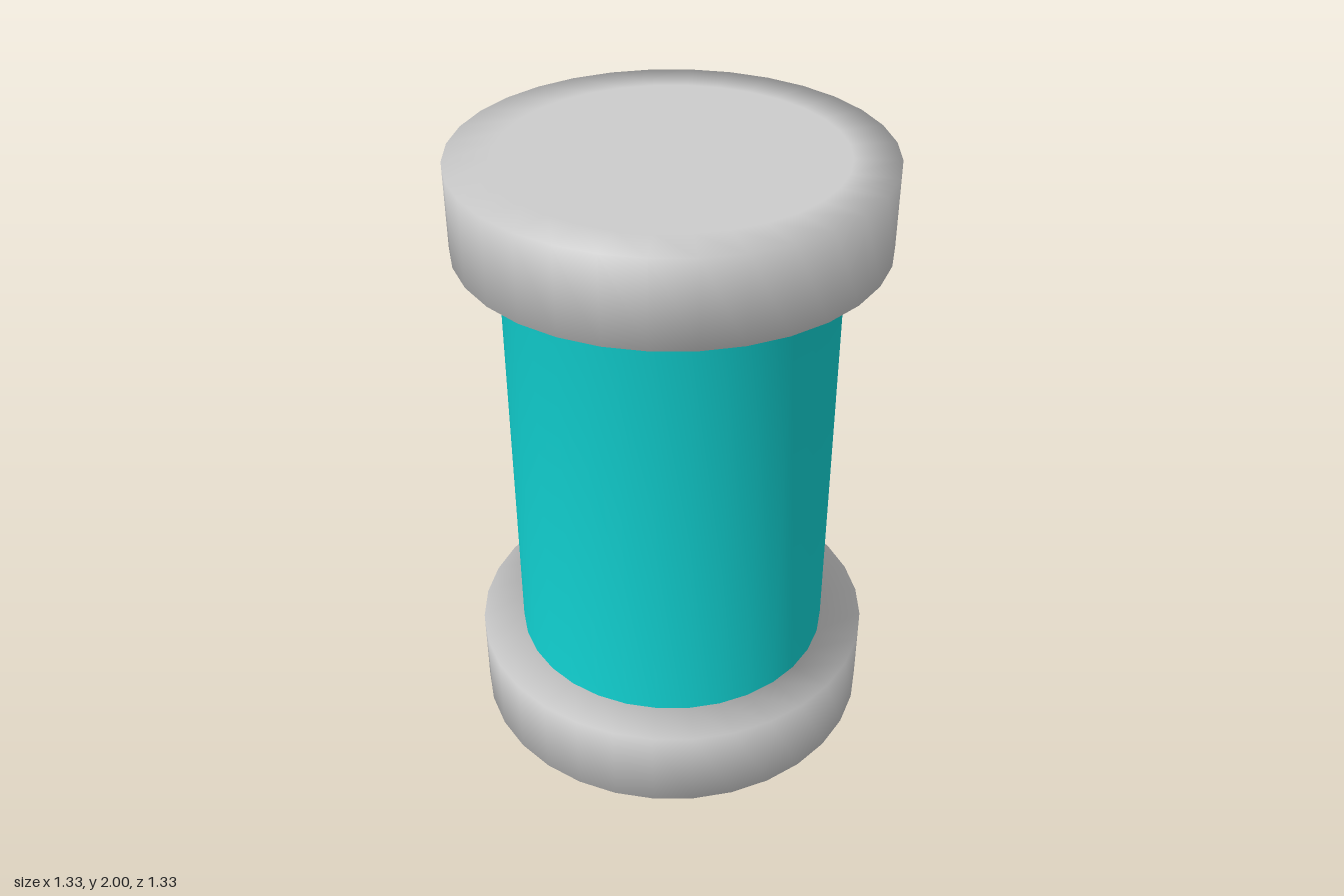
import * as THREE from 'three';

const SIDES = 32;
const BODY_R = 0.526, DISC_R = 0.666;
const LOW = 0.277, HIGH = 1.727, TOP = 2;

// Spool outline from the bottom centre to the top centre
const PROFILE = [
  [0, 0], [BODY_R, 0], [DISC_R, 0], [DISC_R, LOW],
  [BODY_R, LOW], [BODY_R, HIGH],
  [DISC_R, HIGH], [DISC_R, TOP], [BODY_R, TOP], [0, TOP],
].map(([r, y]) => new THREE.Vector2(r, y));

// Keeps the profile bands from..to-1 of the turned spool, with the
// smooth normals shared across the joints between parts
function bands(from, to) {
  const geometry = new THREE.LatheGeometry(PROFILE, SIDES);
  const all = geometry.getIndex().array;
  const count = PROFILE.length - 1;
  const kept = [];
  for (let side = 0; side < SIDES; side++) {
    const start = side * count * 6;
    kept.push(...all.slice(start + from * 6, start + to * 6));
  }
  geometry.setIndex(kept);
  return geometry;
}

export function createModel() {
  const group = new THREE.Group();
  group.name = 'spool';

  const grey = new THREE.MeshStandardMaterial({ color: 0xcccccc });
  const teal = new THREE.MeshStandardMaterial({ color: 0x10cccc });

  const add = (name, from, to, material) => {
    const mesh = new THREE.Mesh(bands(from, to), material);
    mesh.name = name;
    group.add(mesh);
  };

  add('bottomDisc', 0, 4, grey);
  add('body', 4, 5, teal);
  add('topDisc', 5, 9, grey);

  return group;
}
